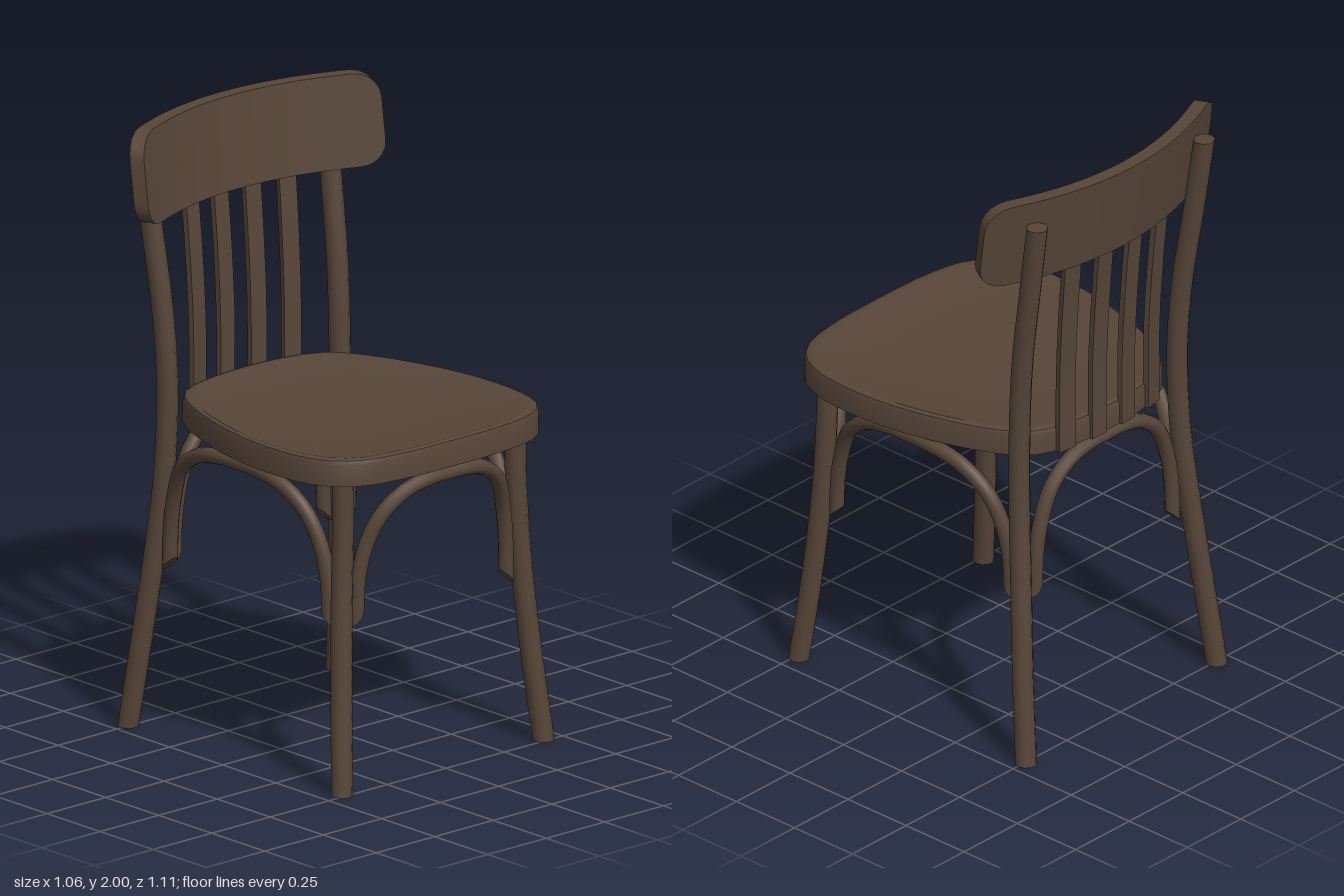
import * as THREE from 'three';
import { toCreasedNormals } from 'three/addons/utils/BufferGeometryUtils.js';

const V = (x, y, z) => new THREE.Vector3(x, y, z);

// Move every vertex of a geometry by a rule
function warp(geo, rule) {
  const p = geo.attributes.position, v = V(0, 0, 0);
  for (let i = 0; i < p.count; i++) {
    rule(v.fromBufferAttribute(p, i), i);
    p.setXYZ(i, v.x, v.y, v.z);
  }
  return geo;
}

// Capped round rod along a curve; cut(v) gives the height of its end faces
function rod(points, r, segs, cut) {
  const n = 10;
  const geo = new THREE.TubeGeometry(new THREE.CatmullRomCurve3(points), segs, r, n, false);
  const last = segs * (n + 1);
  warp(geo, (v, i) => {
    if (i <= n || i >= last) v.y = cut(v);
  });
  const index = Array.from(geo.index.array);
  for (let j = 1; j < n - 1; j++) {
    index.push(0, j, j + 1, last, last + j + 1, last + j);
  }
  geo.setIndex(index);
  return toCreasedNormals(geo, 0.7);
}

// Seat: one outline scaled through a profile, hollow beneath with a deep rim
function seatGeometry() {
  const half = [[0.2, -0.445], [0.3, -0.405], [0.35, -0.35], [0.4, -0.25], [0.445, -0.12], [0.475, 0],
    [0.494, 0.14], [0.494, 0.28], [0.48, 0.37], [0.44, 0.455], [0.36, 0.515], [0.2, 0.545]];
  const pts = [[0, -0.465], ...half, [0, 0.55], ...half.slice().reverse().map(([x, z]) => [-x, z])];
  const curve = new THREE.CatmullRomCurve3(pts.map(([x, z]) => V(x, 0, z)), true);
  const n = 56, ring = curve.getSpacedPoints(n).slice(0, n), cz = 0.04;
  const profile = [[0, 1.075], [0.84, 1.075], [0.84, 1.02], [1, 1.02], [1, 1.09], [0.99, 1.104],
    [0.965, 1.11], [0.93, 1.106], [0.5, 1.102], [0, 1.1]];
  const pos = [], idx = [];
  profile.forEach(([s, y], i) => ring.forEach((p, j) => {
    pos.push(p.x * s, y, cz + (p.z - cz) * s);
    if (i === profile.length - 1) return;
    const a = i * n + j, b = i * n + (j + 1) % n;
    idx.push(a, a + n, b, b, a + n, b + n);
  }));
  const geo = new THREE.BufferGeometry();
  geo.setAttribute('position', new THREE.Float32BufferAttribute(pos, 3));
  geo.setIndex(idx);
  return toCreasedNormals(geo, 0.7);
}

// Top rail: rounded-end board, bowed backwards and leaning back
function railGeometry() {
  const geo = new THREE.BoxGeometry(2, 2, 1, 28, 1, 1);
  const w = 0.53, c = 0.08, thick = 0.048, bow = 0.14;
  warp(geo, v => {
    const x = w * Math.sin(v.x * Math.PI / 2), front = v.z > 0 ? thick : 0;
    const d = Math.max(0, Math.abs(x) - (w - c));
    const h = 0.15 - c + Math.sqrt(Math.max(0, c * c - d * d));
    const k = 2 * bow * x / (w * w), len = Math.hypot(k, 1);
    v.y = 1.85 + v.y * h;
    v.x = x - front * k / len;
    v.z = -0.555 + bow * (x / w) ** 2 + front / len + (2 - v.y) * 0.135;
  });
  return toCreasedNormals(geo, 0.6);
}

// Bent brace under the seat, spanning local x and bulging from zEnd to zTop
function archGeometry(span, zEnd, zTop) {
  const half = [[1, 0.555, 0], [0.985, 0.68, 0.03], [0.91, 0.8, 0.2], [0.77, 0.9, 0.55],
    [0.52, 0.965, 0.85], [0.25, 0.988, 1]];
  const at = (u, y, t) => V(u * span, y, zEnd + (zTop - zEnd) * t);
  const pts = [...half.map(([u, y, t]) => at(-u, y, t)), at(0, 0.99, 1),
    ...half.slice().reverse().map(([u, y, t]) => at(u, y, t))];
  return rod(pts, 0.025, 36, v => 0.555 - (Math.abs(v.x) - span));
}

export function createModel() {
  const chair = new THREE.Group();
  chair.name = 'chair';
  const wood = new THREE.MeshStandardMaterial({ color: 0x574538 });
  wood.name = 'darkWood';
  const add = (name, geo) => {
    const mesh = new THREE.Mesh(geo, wood);
    mesh.name = name;
    chair.add(mesh);
    return mesh;
  };

  add('seat', seatGeometry());
  add('topRail', railGeometry());

  // Legs, mirrored left and right; the back legs run up to the rail
  const frontLeg = [[0.43, 0, 0.487], [0.405, 0.3, 0.455], [0.383, 0.6, 0.432], [0.37, 0.85, 0.424], [0.367, 1.06, 0.422]];
  const backLeg = [[0.445, 0, -0.505], [0.42, 0.3, -0.468], [0.393, 0.6, -0.435], [0.375, 0.85, -0.412],
    [0.368, 1.15, -0.406], [0.374, 1.4, -0.424], [0.383, 1.65, -0.462], [0.39, 1.92, -0.502]];
  for (const [side, label] of [[1, 'left'], [-1, 'right']]) {
    for (const [name, path] of [['FrontLeg', frontLeg], ['BackLeg', backLeg]]) {
      const top = path[path.length - 1][1];
      add(label + name, rod(path.map(([x, y, z]) => V(x * side, y, z)), 0.035, 20,
        v => (v.y < 0.5 ? 0 : top)));
    }
  }

  // Braces on all four sides
  add('frontBrace', archGeometry(0.32, 0.432, 0.515));
  add('backBrace', archGeometry(0.32, 0.428, 0.438)).rotation.y = Math.PI;
  for (const [side, label] of [[1, 'left'], [-1, 'right']]) {
    const brace = add(label + 'Brace', archGeometry(0.375, 0.38, 0.432));
    brace.rotation.y = side * Math.PI / 2;
    brace.position.z = -0.005;
  }

  // Back slats, fixed behind the seat and bending back into the rail
  for (const x of [-0.2, -0.067, 0.067, 0.2]) {
    const geo = new THREE.BoxGeometry(0.064, 0.73, 0.02, 1, 10, 1);
    warp(geo, v => {
      v.y += 1.385;
      v.z -= 0.035 * Math.max(0, (v.y - 1.25) / 0.5) ** 1.5;
    });
    const slat = add('backSlat', toCreasedNormals(geo, 0.6));
    slat.position.set(x, 0, -0.465 + 0.4 * x * x);
    slat.rotation.y = -Math.atan(0.8 * x);
  }
  return chair;
}
